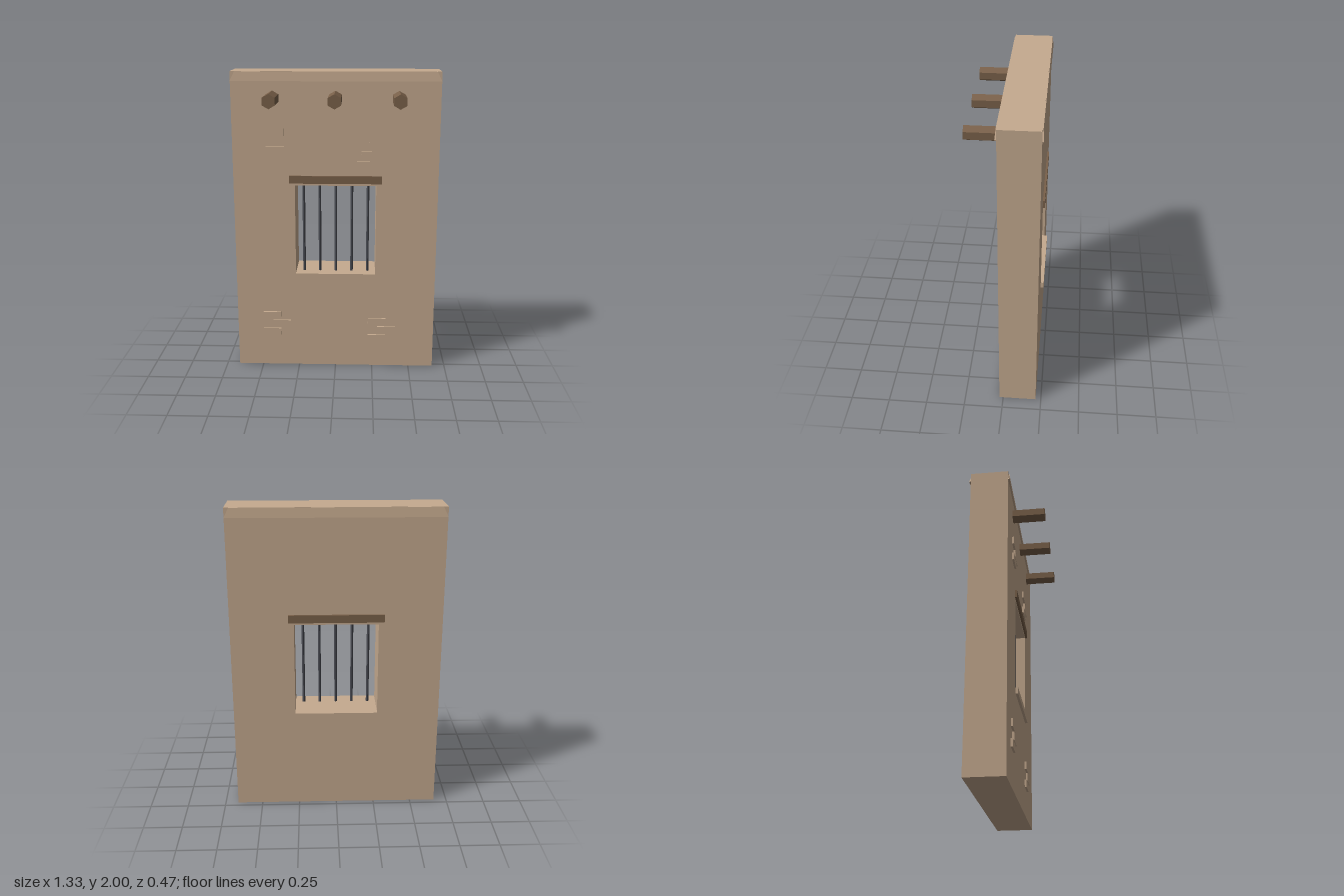
import * as THREE from 'three';

const material = (name, color) => {
  const m = new THREE.MeshStandardMaterial({ color });
  m.name = name;
  return m;
};

export function createModel() {
  const model = new THREE.Group();
  model.name = 'barredWindowWall';
  const clay = material('clay', 0xc5aa8f);
  const wood = material('wood', 0x7a614a);
  const iron = material('iron', 0x494b52);
  const FRONT = 0.025, BACK = -0.215, MID = (FRONT + BACK) / 2;

  const add = (name, geometry, mat, x = 0, y = 0, z = 0, parent = model) => {
    const mesh = new THREE.Mesh(geometry, mat);
    mesh.name = name;
    mesh.position.set(x, y, z);
    parent.add(mesh);
    return mesh;
  };
  const group = (name) => {
    const g = new THREE.Group();
    g.name = name;
    model.add(g);
    return g;
  };
  const polygon = (C, pts) => new C(pts.map(([x, y]) => new THREE.Vector2(x, y)));

  // Wall slab with the window opening
  const outline = polygon(THREE.Shape, [[-0.665, 0], [0.665, 0], [0.665, 2], [-0.665, 2]]);
  outline.holes.push(polygon(THREE.Path, [[-0.265, 0.65], [-0.265, 1.27], [0.265, 1.27], [0.265, 0.65]]));
  const slab = new THREE.ExtrudeGeometry(outline, { depth: FRONT - BACK, bevelEnabled: false });
  add('wall', slab, clay, 0, 0, BACK);

  // Tapered coping strips along the top of both faces
  const strips = group('coping');
  for (const side of [1, -1]) {
    const g = new THREE.BoxGeometry(1.33, 0.06, 0.02);
    const p = g.attributes.position;
    for (let i = 0; i < p.count; i++) {
      if (p.getY(i) < 0) continue;
      p.setX(i, Math.sign(p.getX(i)) * 0.635);
      if (p.getZ(i) * side > 0) p.setZ(i, side * 0.004);
    }
    const flat = g.toNonIndexed();
    flat.computeVertexNormals();
    add('copingStrip', flat, clay, 0, 1.9695, side > 0 ? FRONT : BACK, strips);
  }

  // Sill and lintels
  add('sill', new THREE.BoxGeometry(0.53, 0.04, 0.275), clay, 0, 0.65, -0.0965);
  const lintels = group('lintels');
  for (const z of [FRONT, BACK]) {
    add('lintel', new THREE.BoxGeometry(0.6, 0.05, 0.026), wood, 0, 1.31, z, lintels);
  }

  // Window bars
  const bars = group('bars');
  const barGeometry = new THREE.CylinderGeometry(0.01, 0.01, 0.62, 6).toNonIndexed();
  barGeometry.computeVertexNormals();
  for (let i = -2; i <= 2; i++) add('bar', barGeometry, iron, i * 0.106, 0.97, -0.04, bars);

  // Hexagonal roof beams poking out of the front
  const beams = group('beams');
  const beamGeometry = new THREE.CylinderGeometry(0.046, 0.046, 0.235, 6).toNonIndexed();
  beamGeometry.rotateX(Math.PI / 2);
  beamGeometry.computeVertexNormals();
  for (const x of [-0.4, 0, 0.4]) add('beam', beamGeometry, wood, x, 1.835, 0.1175, beams);

  // Clusters of three exposed bricks
  const bricks = group('bricks');
  const brickGeometry = new THREE.BoxGeometry(0.12, 0.05, 0.024);
  for (const [x, y] of [[-0.39, 1.62], [0.16, 1.53], [-0.43, 0.365], [0.28, 0.325]]) {
    for (let i = 0; i < 3; i++) {
      add('brick', brickGeometry, clay, x + (i === 1 ? 0.065 : 0), y - i * 0.06, FRONT, bricks);
    }
  }
  return model;
}
